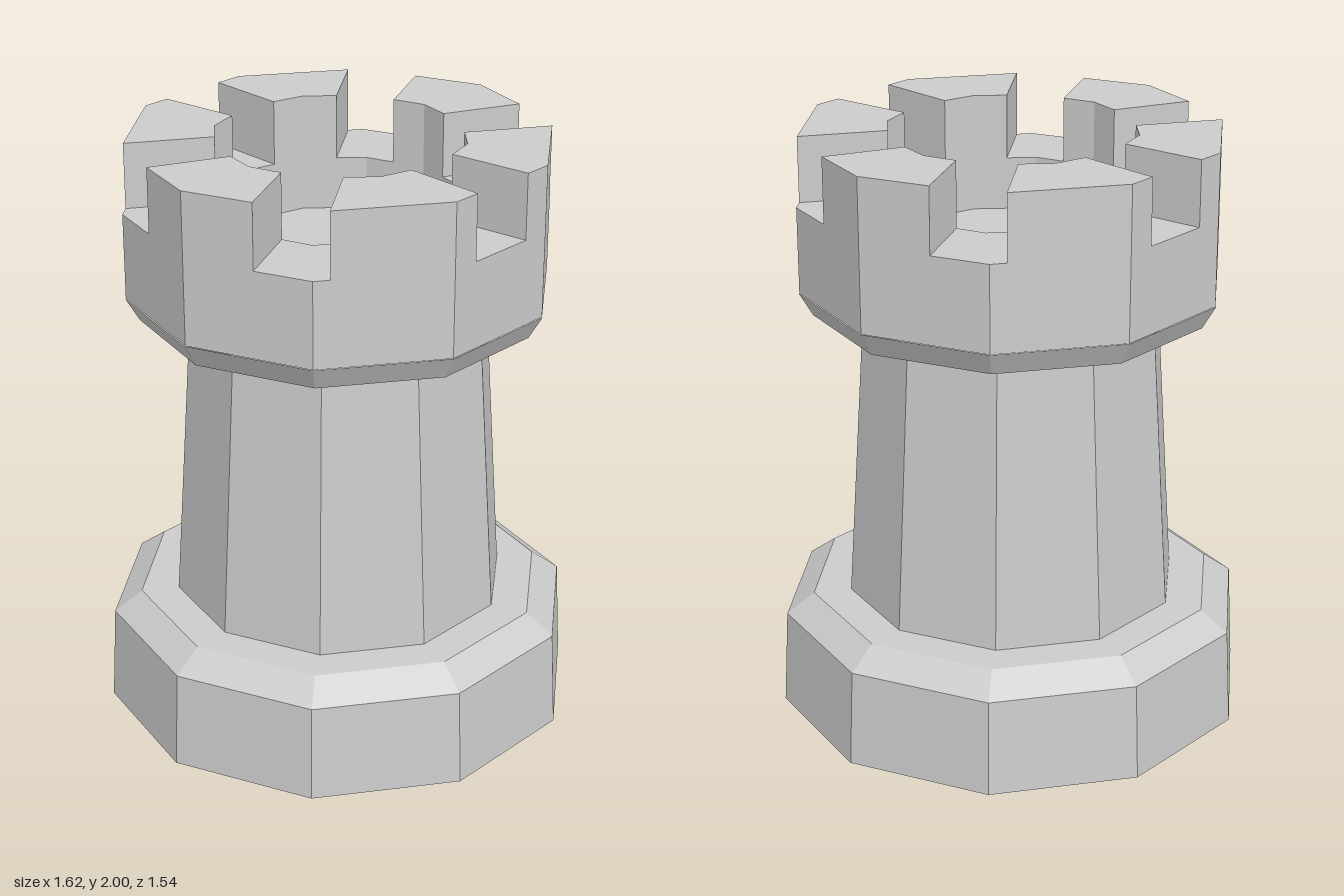
import * as THREE from 'three';

const SIDES = 10, INNER_SIDES = 12, NOTCHES = 6;
const OUTER_R = 0.708, INNER_R = 0.415;
const FLOOR_Y = 1.6, NOTCH_Y = 1.78, TOP_Y = 2;

// Point on a regular polygon's outline at a given angle (one corner lies on +x)
function polygonPoint(radius, sides, angle) {
  const step = (2 * Math.PI) / sides;
  const local = angle - Math.floor(angle / step + 1e-9) * step - step / 2;
  const r = (radius * Math.cos(step / 2)) / Math.cos(local);
  return new THREE.Vector2(r * Math.cos(angle), r * Math.sin(angle));
}

// Stretch of polygon outline between two angles, with the corners in between
function polygonArc(radius, sides, from, to) {
  const step = (2 * Math.PI) / sides;
  const angles = [from];
  for (let k = Math.ceil(from / step + 1e-6); k * step < to - 1e-6; k++) angles.push(k * step);
  angles.push(to);
  return angles.map((a) => polygonPoint(radius, sides, a));
}

function fullPolygon(radius, sides) {
  return Array.from({ length: sides }, (_, k) => polygonPoint(radius, sides, (k * 2 * Math.PI) / sides));
}

// Upright prism over a ground plan
function prism(shape, bottom, top) {
  return new THREE.ExtrudeGeometry(shape, { depth: top - bottom, bevelEnabled: false })
    .rotateX(-Math.PI / 2)
    .translate(0, bottom, 0);
}

// Ten-sided turned form from [radius, height] pairs
function turned(profile) {
  const points = profile.map(([r, y]) => new THREE.Vector2(r, y));
  return new THREE.LatheGeometry(points, SIDES, Math.PI / 2);
}

export function createModel() {
  const model = new THREE.Group();
  model.name = 'castleTower';
  const material = new THREE.MeshStandardMaterial({ color: 0xcccccc, flatShading: true });
  const add = (name, geometry, parent = model) => {
    const mesh = new THREE.Mesh(geometry, material);
    mesh.name = name;
    parent.add(mesh);
    return mesh;
  };

  // Plinth with a sloped shoulder
  add('base', turned([[0, 0], [0.808, 0], [0.79, 0.33], [0.695, 0.4], [0, 0.4]]));

  // Tapering shaft
  add('shaft', turned([[0.567, 0.4], [0.503, 1.385]]));

  // Flared underside of the head
  add('corbel', turned([[0, 1.385], [0.503, 1.385], [0.665, 1.41], [0.711, 1.49]]));

  // Parapet ring around the sunken floor
  const ring = new THREE.Shape(fullPolygon(OUTER_R, SIDES));
  ring.holes.push(new THREE.Path(fullPolygon(INNER_R, INNER_SIDES).reverse()));
  add('parapet', prism(ring, 1.49, NOTCH_Y));
  add('floor', new THREE.CircleGeometry(INNER_R, INNER_SIDES).rotateX(-Math.PI / 2).translate(0, FLOOR_Y, 0));

  // Battlements: the gaps narrow slightly towards the centre
  const battlements = new THREE.Group();
  battlements.name = 'battlements';
  model.add(battlements);
  const half = Math.PI / NOTCHES;
  const outerGap = Math.asin(0.12 / 0.68), innerGap = Math.asin(0.1 / 0.41);
  for (let i = 0; i < NOTCHES; i++) {
    const mid = 2 * half * i;
    const outer = polygonArc(OUTER_R, SIDES, mid - half + outerGap, mid + half - outerGap);
    const inner = polygonArc(INNER_R, INNER_SIDES, mid - half + innerGap, mid + half - innerGap);
    add('merlon' + (i + 1), prism(new THREE.Shape([...outer, ...inner.reverse()]), NOTCH_Y, TOP_Y), battlements);
  }

  return model;
}
